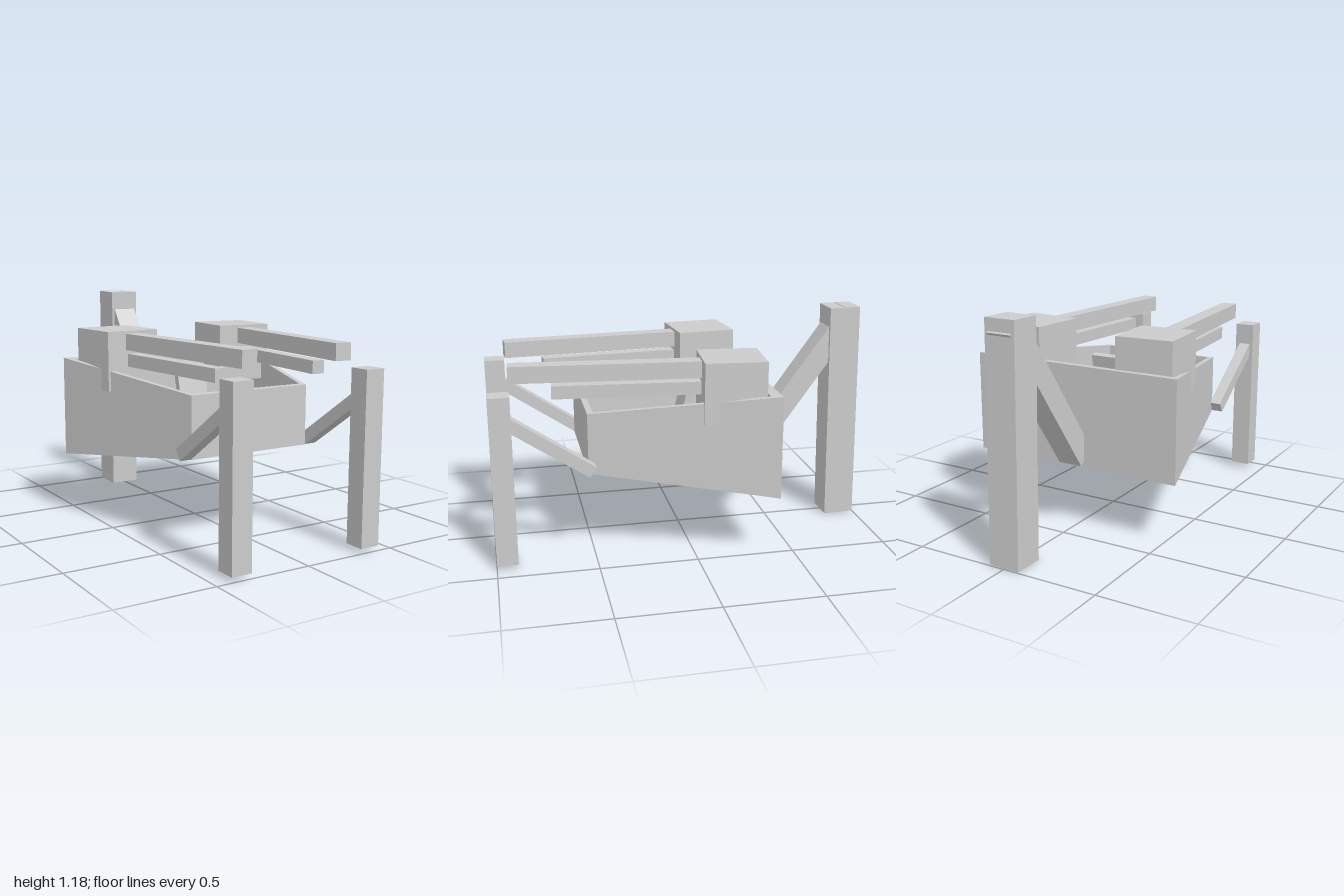
import * as THREE from 'three';

const material = new THREE.MeshStandardMaterial({ color: 0xcccccc, flatShading: true });

function box(name, size, position) {
  const mesh = new THREE.Mesh(new THREE.BoxGeometry(...size), material);
  mesh.name = name;
  mesh.position.set(...position);
  return mesh;
}

// Beam of given width and thickness between two points [y, z] at a fixed x
function beam(name, x, width, thick, [y0, z0], [y1, z1]) {
  const length = Math.hypot(y1 - y0, z1 - z0);
  const mesh = box(name, [width, length, thick], [x, (y0 + y1) / 2, (z0 + z1) / 2]);
  mesh.rotation.x = Math.atan2(z1 - z0, y1 - y0);
  return mesh;
}

// Open tub: outer bottom, outer rim, inner rim and inner floor joined in loops
function hullGeometry() {
  const ring = (backX, frontX, backZ, frontZ, backY, frontY) => [
    [-backX, backY, backZ], [backX, backY, backZ],
    [frontX, frontY, frontZ], [-frontX, frontY, frontZ],
  ];
  const rings = [
    ring(0.58, 0.34, -0.4, 0.525, 0.335, 0.45),
    ring(0.58, 0.34, -0.4, 0.525, 0.86, 0.76),
    ring(0.54, 0.32, -0.347, 0.495, 0.855, 0.763),
    ring(0.54, 0.32, -0.347, 0.495, 0.37, 0.48),
  ];
  const points = [];
  const quad = (a, b, c, d) => points.push(...a, ...b, ...c, ...a, ...c, ...d);
  quad(...rings[0]);
  for (let r = 0; r < 3; r++) {
    for (let i = 0; i < 4; i++) {
      const j = (i + 1) % 4;
      quad(rings[r][i], rings[r + 1][i], rings[r + 1][j], rings[r][j]);
    }
  }
  quad(...rings[3].slice().reverse());
  const geometry = new THREE.BufferGeometry();
  geometry.setAttribute('position', new THREE.Float32BufferAttribute(points, 3));
  geometry.computeVertexNormals();
  return geometry;
}

// Reclined pilot seat with armrests
function createSeat() {
  const seat = new THREE.Group();
  seat.name = 'seat';
  seat.add(
    box('seatCushion', [0.17, 0.05, 0.2], [0, 0.58, 0.09]),
    beam('seatBack', 0, 0.17, 0.035, [0.56, 0.0], [0.845, -0.065]),
    beam('seatFront', 0, 0.17, 0.035, [0.6, 0.18], [0.43, 0.225]),
  );
  for (const s of [-1, 1]) {
    seat.add(box('armrest', [0.025, 0.06, 0.18], [s * 0.101, 0.59, 0.1]));
  }
  return seat;
}

// Toed-in housing with a long upper and a short lower barrel
function createGun(s) {
  const gun = new THREE.Group();
  gun.name = s > 0 ? 'leftGun' : 'rightGun';
  gun.position.set(s * 0.36, 0, -0.195);
  gun.rotation.y = -s * 0.087;
  gun.add(
    box('gunHousing', [0.3, 0.305, 0.308], [0, 0.87, 0]),
    box('upperBarrel', [0.085, 0.084, 1.0], [0, 0.966, 0.592]),
    box('lowerBarrel', [0.065, 0.066, 0.8], [0, 0.871, 0.488]),
  );
  return gun;
}

export function createModel() {
  const model = new THREE.Group();
  model.name = 'walker';

  const hull = new THREE.Mesh(hullGeometry(), material);
  hull.name = 'hull';
  model.add(hull, createSeat());

  // Front legs, struts and guns on both sides
  for (const s of [-1, 1]) {
    model.add(
      createGun(s),
      box('frontLeg', [0.106, 0.86, 0.106], [s * 0.37, 0.46, 0.947]),
      beam('frontStrut', s * 0.373, 0.062, 0.062, [0.478, 0.508], [0.77, 0.94]),
    );
  }

  // Single rear leg, leaning slightly, with its strut passing through it
  const rearLeg = box('rearLeg', [0.162, 1.175, 0.164], [0, 0.594, -0.903]);
  rearLeg.rotation.x = 0.019;
  model.add(rearLeg, beam('rearStrut', 0, 0.13, 0.117, [0.385, -0.38], [1.15, -0.936]));

  return model;
}
